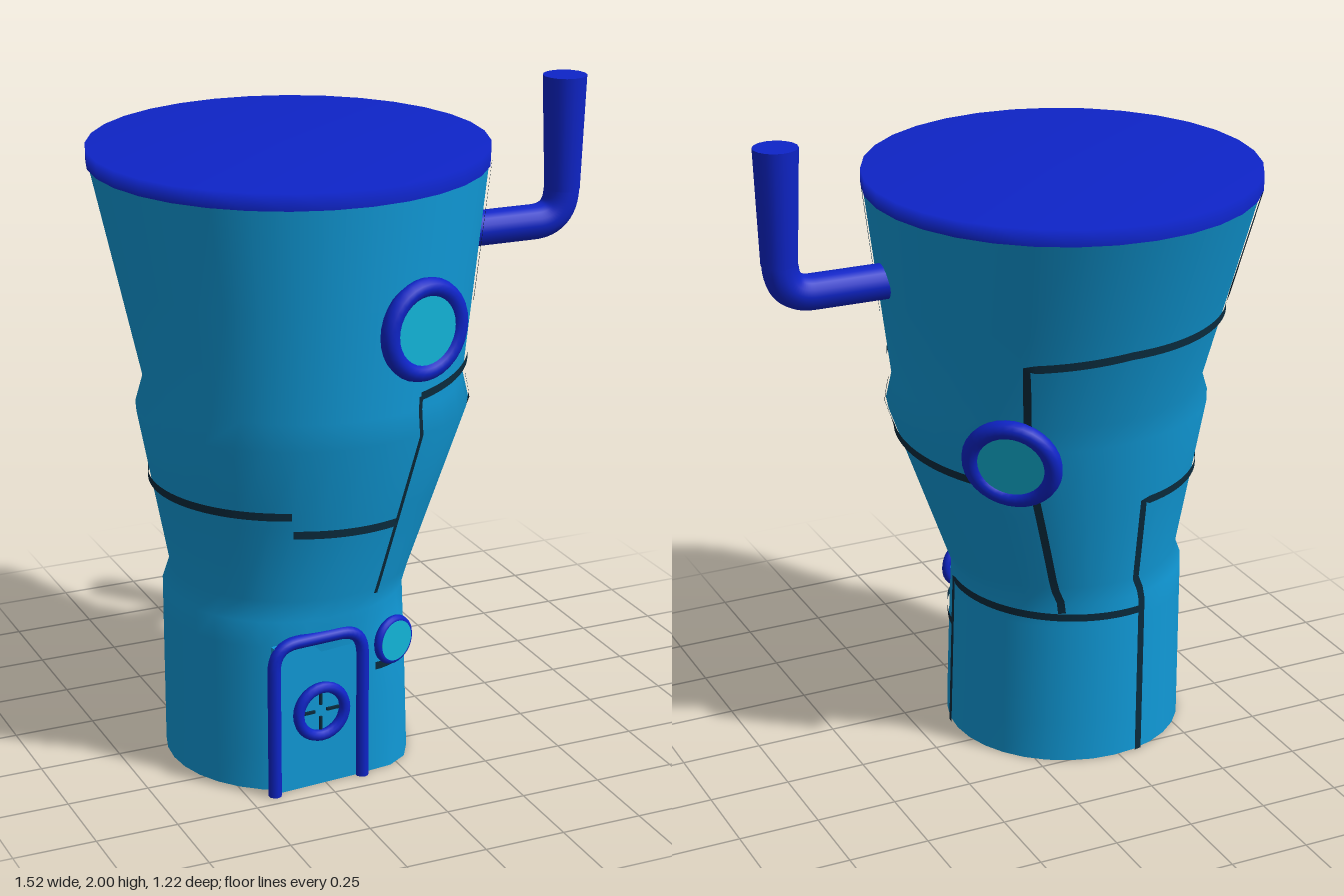
import * as THREE from 'three';

const mat = (name, color, side = THREE.FrontSide) => {
  const m = new THREE.MeshStandardMaterial({ color, side });
  m.name = name;
  return m;
};

// Cross-sections of the tower: y, centre x, centre z, radius x, radius z
const RINGS = [
  [0, -0.235, 0.09, 0.37, 0.37],
  [0.54, -0.2425, 0.0875, 0.3625, 0.3625],
  [0.6, -0.218, 0.083, 0.3625, 0.3625],
  [1.1, -0.175, 0.09, 0.5, 0.47],
  [1.18, -0.17, 0.085, 0.475, 0.475],
  [1.82, -0.17, -0.012, 0.59, 0.59],
];

// Point on the tower surface at an angle in degrees (0 = +x, 90 = +z) and height
function surf(deg, y) {
  let i = 0;
  while (i < RINGS.length - 2 && y > RINGS[i + 1][0]) i++;
  const t = (y - RINGS[i][0]) / (RINGS[i + 1][0] - RINGS[i][0]);
  const [, cx, cz, rx, rz] = RINGS[i].map((v, k) => v + (RINGS[i + 1][k] - v) * t);
  const a = THREE.MathUtils.degToRad(deg);
  // near the ground the front is flattened for the door, with a blunt corner beside it
  const k = THREE.MathUtils.clamp((0.58 - y) / 0.2, 0, 1);
  const delta = ((deg - 46 + 540) % 360) - 180;
  const bulge = 1 + 0.05 * k * Math.exp(-((delta / 12) ** 2));
  const x = cx + rx * bulge * Math.cos(a);
  let z = cz + rz * bulge * Math.sin(a);
  z -= k * Math.max(0, z - (0.425 - 0.08 * (x + 0.235)));
  return new THREE.Vector3(x, y, z);
}

function bufferGeometry(points, index) {
  const g = new THREE.BufferGeometry().setFromPoints(points);
  g.setIndex(index);
  g.computeVertexNormals();
  return g;
}

const SIDES = 32;
const ring = (y) => Array.from({ length: SIDES }, (_, j) => surf((j * 360) / SIDES, y));

function towerGeometry() {
  const rows = [0, 0.12, 0.25, 0.38, 0.46, 0.54, 0.6, 0.85, 1.1, 1.18, 1.5, 1.82];
  const index = [];
  for (let i = 0; i < rows.length - 1; i++) {
    for (let j = 0; j < SIDES; j++) {
      const a = i * SIDES + j, b = i * SIDES + ((j + 1) % SIDES);
      index.push(a, a + SIDES, b, b, a + SIDES, b + SIDES);
    }
  }
  return bufferGeometry(rows.flatMap(ring), index);
}

function baseGeometry() {
  const index = [];
  for (let j = 0; j < SIDES; j++) index.push(0, 1 + j, 1 + ((j + 1) % SIDES));
  return bufferGeometry([new THREE.Vector3(-0.235, 0, 0.09), ...ring(0)], index);
}

// Thin ribbon lying on the tower along a path of [angle, y] points
function seamGeometry(path, half) {
  const samples = [];
  path.forEach(([a, y], i) => {
    if (i === 0) return samples.push([a, y]);
    const [pa, py] = path[i - 1];
    const n = Math.ceil(Math.max(Math.abs(a - pa) / 3, Math.abs(y - py) / 0.04));
    for (let s = 1; s <= n; s++) samples.push([pa + ((a - pa) * s) / n, py + ((y - py) * s) / n]);
  });
  const normals = samples.map(([a]) => {
    const r = THREE.MathUtils.degToRad(a);
    return new THREE.Vector3(Math.cos(r), 0, Math.sin(r));
  });
  const mid = samples.map(([a, y], i) => surf(a, y).addScaledVector(normals[i], 0.006));
  const points = [], index = [];
  mid.forEach((p, i) => {
    const dir = mid[Math.min(i + 1, mid.length - 1)].clone().sub(mid[Math.max(i - 1, 0)]);
    const side = normals[i].clone().cross(dir).normalize().multiplyScalar(half);
    points.push(p.clone().add(side), p.clone().sub(side));
    if (i) index.push(2 * i - 2, 2 * i - 1, 2 * i, 2 * i, 2 * i - 1, 2 * i + 1);
  });
  return bufferGeometry(points, index);
}

export function createModel() {
  const model = new THREE.Group();
  const shell = mat('shell blue', 0x109ad8);
  const trim = mat('trim blue', 0x0e24c8);
  const glass = mat('glass cyan', 0x12b6da);
  const dark = mat('seam dark', 0x0a2a3c, THREE.DoubleSide);
  const add = (name, geo, material, parent = model) => {
    const m = new THREE.Mesh(geo, material);
    m.name = name;
    parent.add(m);
    return m;
  };

  // Tower, underside and lid
  add('tower', towerGeometry(), shell);
  add('base', baseGeometry(), trim);
  const lidProfile = [[0.594, 0], [0.594, 0.05], [0, 0.05]].map((p) => new THREE.Vector2(...p));
  add('lid', new THREE.LatheGeometry(lidProfile, SIDES), trim).position.set(-0.17, 1.81, -0.013);

  // Panel seams
  const seams = [
    [[[257, 0], [257, 0.88], [114, 0.89]], 0.012],
    [[[113, 0.83], [68, 0.82]], 0.012],
    [[[68, 0.585], [69, 1.22]], 0.007],
    [[[69, 1.22], [24, 1.245]], 0.012],
    [[[26, 1.81], [23, 1.39]], 0.007],
    [[[22, 1.17], [19, 1.02], [-35, 0.98], [-62, 0.98]], 0.012],
    [[[-62, 0.51], [-56, 1.39], [-90, 1.42], [-151, 1.42], [-147, 1.81]], 0.012],
    [[[8, 0], [8, 0.505], [-103, 0.49]], 0.012],
    [[[65, 0.345], [8, 0.35]], 0.012],
  ];
  seams.forEach(([path, half]) => add('seam', seamGeometry(path, half), dark));

  // Portholes: ring and glass facing along a direction
  const portholes = [
    [[0.005, 1.425, 0.552], [0.24, 0, 0.97], 0.125, 0.028],
    [surf(-53, 1.065).add(new THREE.Vector3(0.008, 0, -0.01)).toArray(), [0.62, -0.25, -0.74], 0.125, 0.028],
    [[-0.018, 0.415, 0.405], [0.36, 0, 0.93], 0.062, 0.014],
  ];
  portholes.forEach(([pos, dir, radius, tube]) => {
    const g = new THREE.Group();
    g.name = 'porthole';
    g.position.set(...pos);
    g.quaternion.setFromUnitVectors(new THREE.Vector3(0, 0, 1), new THREE.Vector3(...dir).normalize());
    add('portholeRing', new THREE.TorusGeometry(radius, tube, 12, 32), trim, g);
    const disc = new THREE.CylinderGeometry(radius, radius, 0.02, 32).rotateX(Math.PI / 2);
    add('portholeGlass', disc, glass, g).position.z = 0.005;
    model.add(g);
  });

  // Door: arched frame with a hand wheel
  const door = new THREE.Group();
  door.name = 'door';
  door.position.set(-0.275, 0, 0.437);
  door.rotation.y = 0.08;
  const V = (x, y, z = 0) => new THREE.Vector3(x, y, z);
  const frame = new THREE.CurvePath();
  frame.add(new THREE.LineCurve3(V(-0.147, 0), V(-0.147, 0.4)));
  frame.add(new THREE.QuadraticBezierCurve3(V(-0.147, 0.4), V(-0.147, 0.48), V(-0.07, 0.48)));
  frame.add(new THREE.LineCurve3(V(-0.07, 0.48), V(0.07, 0.48)));
  frame.add(new THREE.QuadraticBezierCurve3(V(0.07, 0.48), V(0.147, 0.48), V(0.147, 0.4)));
  frame.add(new THREE.LineCurve3(V(0.147, 0.4), V(0.147, 0)));
  add('doorFrame', new THREE.TubeGeometry(frame, 80, 0.02, 10), trim, door);
  add('doorPanel', new THREE.BoxGeometry(0.29, 0.47, 0.02), shell, door).position.set(0, 0.237, -0.012);
  add('doorWheel', new THREE.TorusGeometry(0.077, 0.017, 10, 28), trim, door).position.set(0.005, 0.245, 0.01);
  for (let i = 0; i < 4; i++) {
    const a = (i * Math.PI) / 2;
    const spoke = add('wheelSpoke', new THREE.BoxGeometry(0.045, 0.008, 0.008), dark, door);
    spoke.position.set(0.005 + 0.042 * Math.cos(a), 0.245 + 0.042 * Math.sin(a), 0.004);
    spoke.rotation.z = a;
  }
  model.add(door);

  // Chimney pipe: bent tube with a flared end
  const pipe = new THREE.CurvePath();
  pipe.add(new THREE.LineCurve3(V(0.3, 1.553, 0.072), V(0.59, 1.553, 0.08)));
  pipe.add(new THREE.QuadraticBezierCurve3(V(0.59, 1.553, 0.08), V(0.685, 1.553, 0.083), V(0.687, 1.65, 0.084)));
  add('pipe', new THREE.TubeGeometry(pipe, 40, 0.054, 16), trim);
  add('pipeFlare', new THREE.CylinderGeometry(0.067, 0.054, 0.352, 16), trim).position.set(0.689, 1.824, 0.084);

  return model;
}
